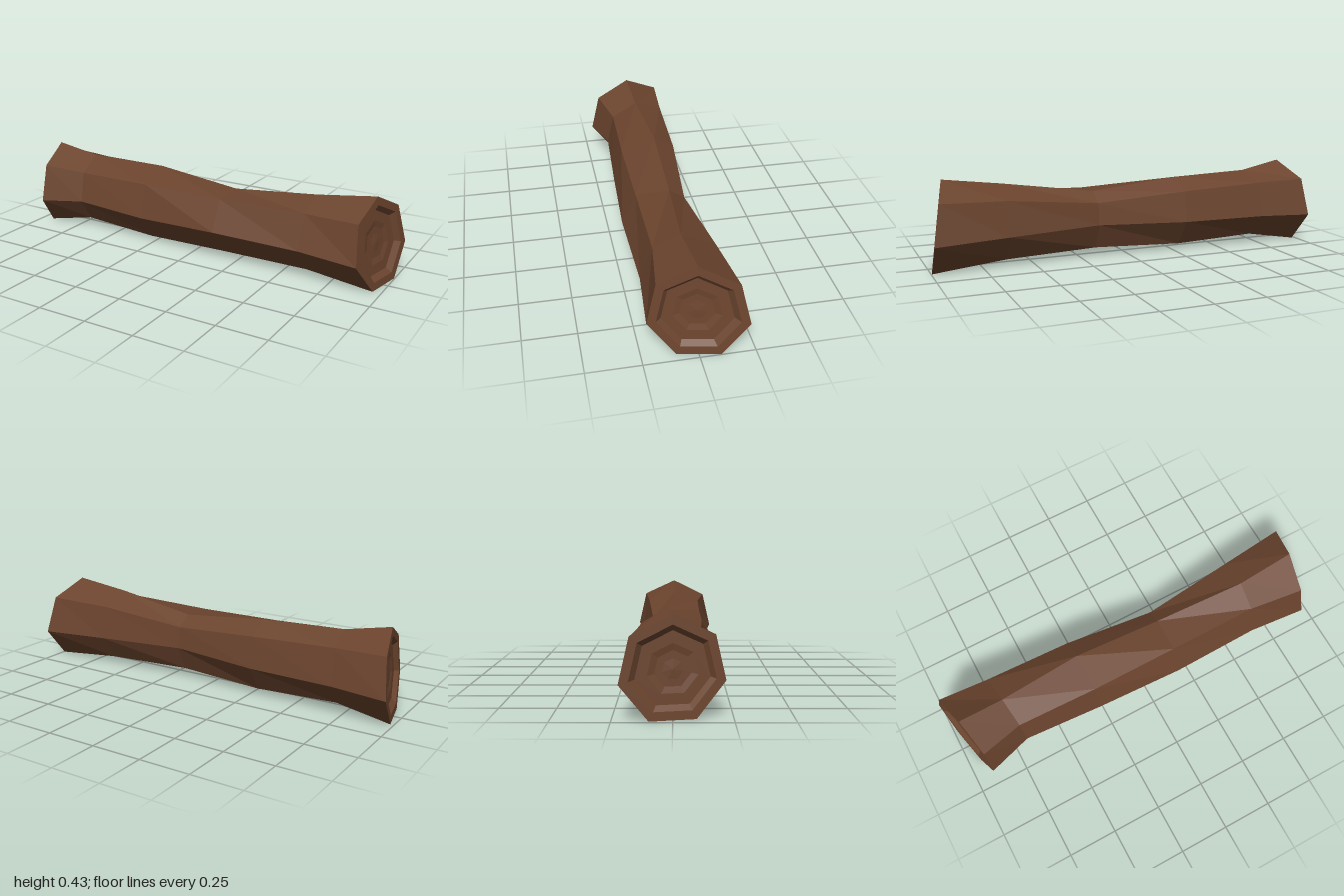
import * as THREE from 'three';

const SIDES = 7;
const CENTRE_Y = 0.203;

// Slanted end planes: x = a + b*y + c*z
const leftPlane = { a: 0.978, b: -0.135, c: -0.193 };
const rightPlane = { a: -0.961, b: 0.073, c: 0.227 };

// Worn trunk sections as [y, z], from the top ridge round by the front
const sections = [
  { x: -0.7, tilt: 0.13, ring: [[0.385, -0.015], [0.318, 0.12], [0.165, 0.155], [0.045, 0.07], [0.045, -0.09], [0.16, -0.192], [0.335, -0.16]] },
  { x: -0.28, tilt: 0.05, ring: [[0.377, -0.045], [0.325, 0.135], [0.153, 0.18], [0.022, 0.08], [0.03, -0.09], [0.16, -0.176], [0.315, -0.15]] },
  { x: 0.17, tilt: 0, ring: [[0.33, -0.033], [0.322, 0.135], [0.17, 0.205], [0.033, 0.09], [0.045, -0.065], [0.17, -0.122], [0.28, -0.11]] },
  { x: 0.63, tilt: -0.05, ring: [[0.39, 0.01], [0.332, 0.138], [0.163, 0.195], [0.035, 0.09], [0.035, -0.09], [0.16, -0.172], [0.33, -0.145]] },
];

// Growth rings on each cut end: [radius, depth into the log]
const growthRings = [[0.225, 0], [0.184, 0], [0.159, 0.022], [0.108, 0.022], [0.078, 0.028], [0.045, 0.028], [0, 0.024]];

// Heptagon lying on an end plane, moved along x
function endRing(plane, radius, shift) {
  return Array.from({ length: SIDES }, (_, i) => {
    const angle = (i / SIDES) * Math.PI * 2;
    const y = CENTRE_Y + radius * Math.cos(angle);
    const z = radius * Math.sin(angle);
    return new THREE.Vector3(plane.a + plane.b * y + plane.c * z + shift, y, z);
  });
}

// Faceted skin joining successive rings
function skin(name, rings, material) {
  const points = [];
  const addTriangle = (a, b, c) => {
    if (!a.equals(b) && !b.equals(c) && !c.equals(a)) points.push(a, b, c);
  };
  for (let r = 0; r < rings.length - 1; r++) {
    for (let i = 0; i < SIDES; i++) {
      const j = (i + 1) % SIDES;
      addTriangle(rings[r][i], rings[r][j], rings[r + 1][j]);
      addTriangle(rings[r][i], rings[r + 1][j], rings[r + 1][i]);
    }
  }
  const geometry = new THREE.BufferGeometry().setFromPoints(points);
  geometry.computeVertexNormals();
  const mesh = new THREE.Mesh(geometry, material);
  mesh.name = name;
  return mesh;
}

export function createModel() {
  const group = new THREE.Group();
  group.name = 'log';
  const wood = new THREE.MeshStandardMaterial({ color: 0x6b442e, flatShading: true });

  // Bark from the right end to the left end
  const trunk = sections.map(({ x, tilt, ring }) =>
    ring.map(([y, z]) => new THREE.Vector3(x + tilt * z, y, z)));
  const radius = growthRings[0][0];
  group.add(skin('bark', [endRing(rightPlane, radius, 0), ...trunk, endRing(leftPlane, radius, 0)], wood));

  // Recessed cut ends
  const leftRings = growthRings.map(([r, depth]) => endRing(leftPlane, r, -depth));
  const rightRings = growthRings.map(([r, depth]) => endRing(rightPlane, r, depth)).reverse();
  group.add(skin('leftCutEnd', leftRings, wood));
  group.add(skin('rightCutEnd', rightRings, wood));
  return group;
}
